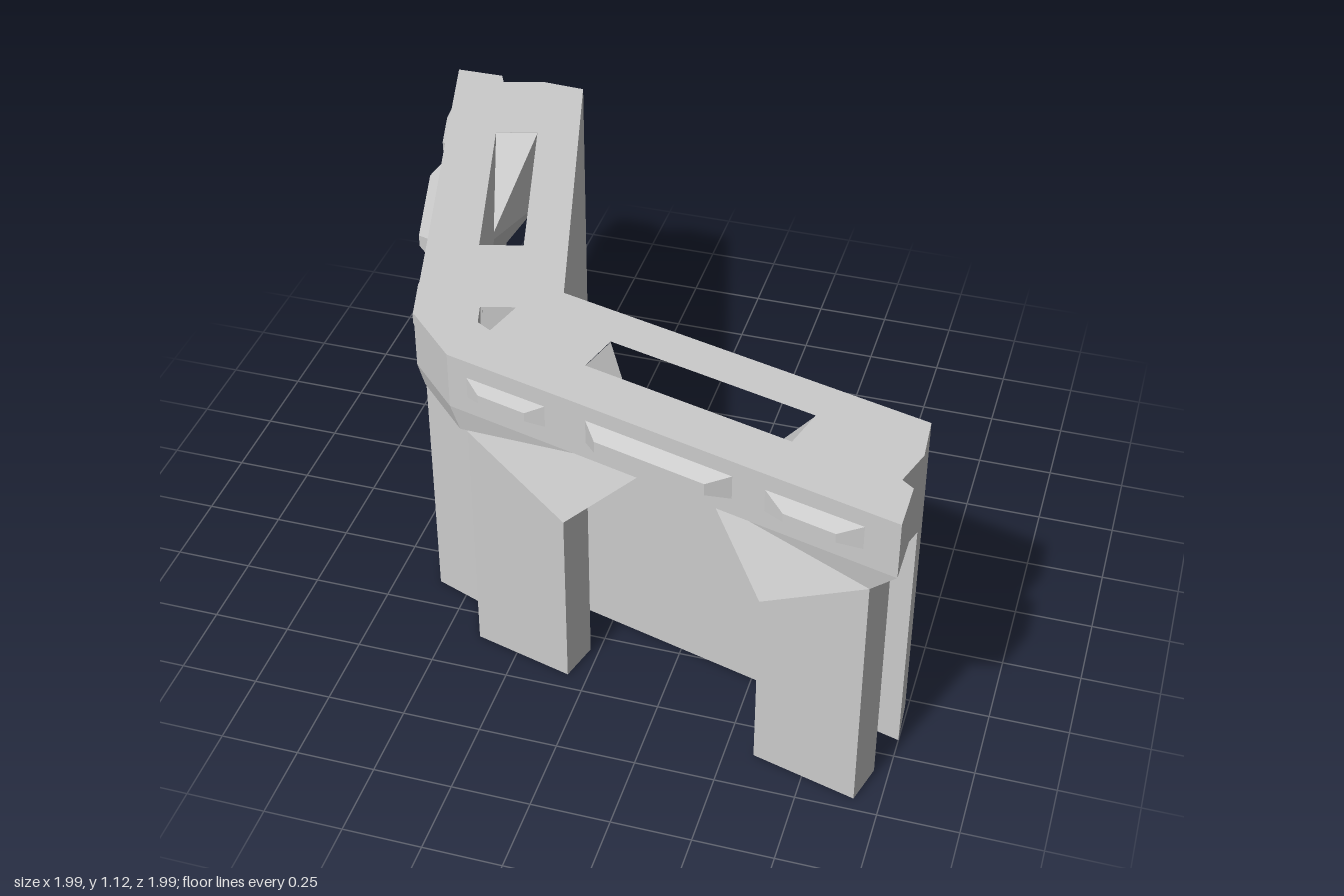
import * as THREE from 'three';
import { ConvexGeometry } from 'three/addons/geometries/ConvexGeometry.js';

const TOP = 1.12, RIM = 0.93, UNDER = 0.84, ARCH = 0.63;
const COS = Math.cos(Math.PI / 12), SIN = Math.sin(Math.PI / 12);

// Plan position [x, z] from distance u along one arm and v outward from its inner face
const plan = ([u, v]) => [-0.208 + u * COS - v * SIN, 0.208 + u * SIN + v * COS];
// The other arm is the reflection across the diagonal
const mirror = ([x, z]) => [-z, -x];
const path = (pts) => pts.map(([x, z]) => new THREE.Vector2(x, -z));

// Closed outline over both arms; the first point lies on the diagonal
function outline(half) {
  const a = half.map(plan);
  return [...a, ...a.slice(1).reverse().map(mirror)];
}

function extrude(pts, holes, steps) {
  const shape = new THREE.Shape(path(pts));
  holes.forEach((h) => shape.holes.push(new THREE.Path(path(h))));
  const geo = new THREE.ExtrudeGeometry(shape, { depth: 1, steps, bevelEnabled: false });
  geo.rotateX(-Math.PI / 2);
  return geo;
}

export function createModel() {
  const group = new THREE.Group();
  const material = new THREE.MeshStandardMaterial({ color: 0xcccccc, flatShading: true });
  const add = (name, geo) => {
    const mesh = new THREE.Mesh(geo, material);
    mesh.name = name;
    group.add(mesh);
  };
  // Convex solid from [u, y, v] points, made once on each arm
  const addPair = (name, pts) => {
    for (const side of ['left', 'right']) {
      const verts = pts.map(([u, y, v]) => {
        const p = plan([u, v]);
        const [x, z] = side === 'left' ? p : mirror(p);
        return new THREE.Vector3(x, y, z);
      });
      add(side + name, new ConvexGeometry(verts));
    }
  };

  // Bent wall panel
  const wallHalf = [[0, 0], [1.241, 0], [1.289, 0.143]].map(plan);
  const wall = extrude([
    ...wallHalf, [-0.322, 0.322], ...wallHalf.slice(1).reverse().map(mirror),
  ], [], 1);
  wall.scale(1, UNDER, 1);
  add('wallPanel', wall);

  // Cap: the underside outline flares out to the rim outline
  const end = [[0, 0], [1.241, 0], [1.289, 0.143], [1.284, 0.279]];
  const lower = outline([...end, [1.288, 0.295], [1.283, 0.43], [0.69, 0.3], [0.49, 0.3], [-0.1, 0.43]]);
  const upper = outline([...end, [1.328, 0.288], [1.369, 0.443], [0.904, 0.445], [0.304, 0.445], [-0.12, 0.447]]);
  const slot = [[0.257, 0.14], [0.945, 0.14], [0.945, 0.28], [0.257, 0.28]].map(plan);
  const cornerHole = [[-0.322, 0.322], [-0.358, 0.457], [-0.42, 0.42], [-0.457, 0.358]];
  const cap = extrude(lower, [slot, slot.map(mirror), cornerHole], 2);
  const pos = cap.attributes.position;
  for (let i = 0; i < pos.count; i++) {
    const level = Math.round(pos.getY(i) * 2);
    pos.setY(i, [UNDER, RIM, TOP][level]);
    const k = lower.findIndex(([x, z]) => Math.hypot(x - pos.getX(i), z - pos.getZ(i)) < 1e-4);
    if (level > 0 && k >= 0) {
      pos.setX(i, upper[k][0]);
      pos.setZ(i, upper[k][1]);
    }
  }
  cap.computeVertexNormals();
  add('cap', cap);

  // Legs with arched brackets: outer end (front, back), arch side, tip of the bracket
  const legs = [
    { name: 'CornerLeg', front: -0.073, back: -0.17, inner: 0.265, tip: 0.49, slotEnd: 0.257, reach: 0.43 },
    { name: 'EndLeg', front: 1.283, back: 1.283, inner: 0.94, tip: 0.69, slotEnd: 0.945, reach: 0.772 },
  ];
  for (const { name, front, back, inner, tip, slotEnd, reach } of legs) {
    const foot = (y) => [[front, y, 0.43], [back, y, 0.295], [inner, y, 0.43], [inner, y, 0.295]];
    addPair(name, [...foot(0), ...foot(ARCH)]);
    addPair(name + 'Bracket', [
      ...foot(ARCH), [front, UNDER, 0.43], [back, UNDER, 0.295], [tip, UNDER, 0.3], [tip, UNDER, 0.295],
    ]);
    // Sloping web at the end of the slot
    addPair(name + 'Web', [
      [slotEnd, TOP - 0.002, 0.14], [slotEnd, TOP - 0.002, 0.28], [slotEnd, UNDER, 0.14],
      [reach, UNDER, 0.28], [tip, UNDER, 0.295], [inner, ARCH, 0.295],
    ]);
  }

  // Raised studs along the rim: base ends, face ends, face depth and height
  const studs = [
    ['CornerStud', -0.07, 0.235, 0.0, 0.164, 0.468, 1.0, 1.03],
    ['MiddleStud', 0.355, 0.855, 0.42, 0.785, 0.491, 1.005, 1.045],
    ['EndStud', 0.94, 1.27, 1.025, 1.19, 0.473, 1.0, 1.03],
  ];
  for (const [name, b0, b1, f0, f1, v, y0, y1] of studs) {
    const pts = [];
    for (const u of [b0, b1]) for (const y of [0.985, 1.07]) pts.push([u, y, 0.44]);
    for (const u of [f0, f1]) for (const y of [y0, y1]) pts.push([u, y, v]);
    addPair(name, pts);
  }
  return group;
}
